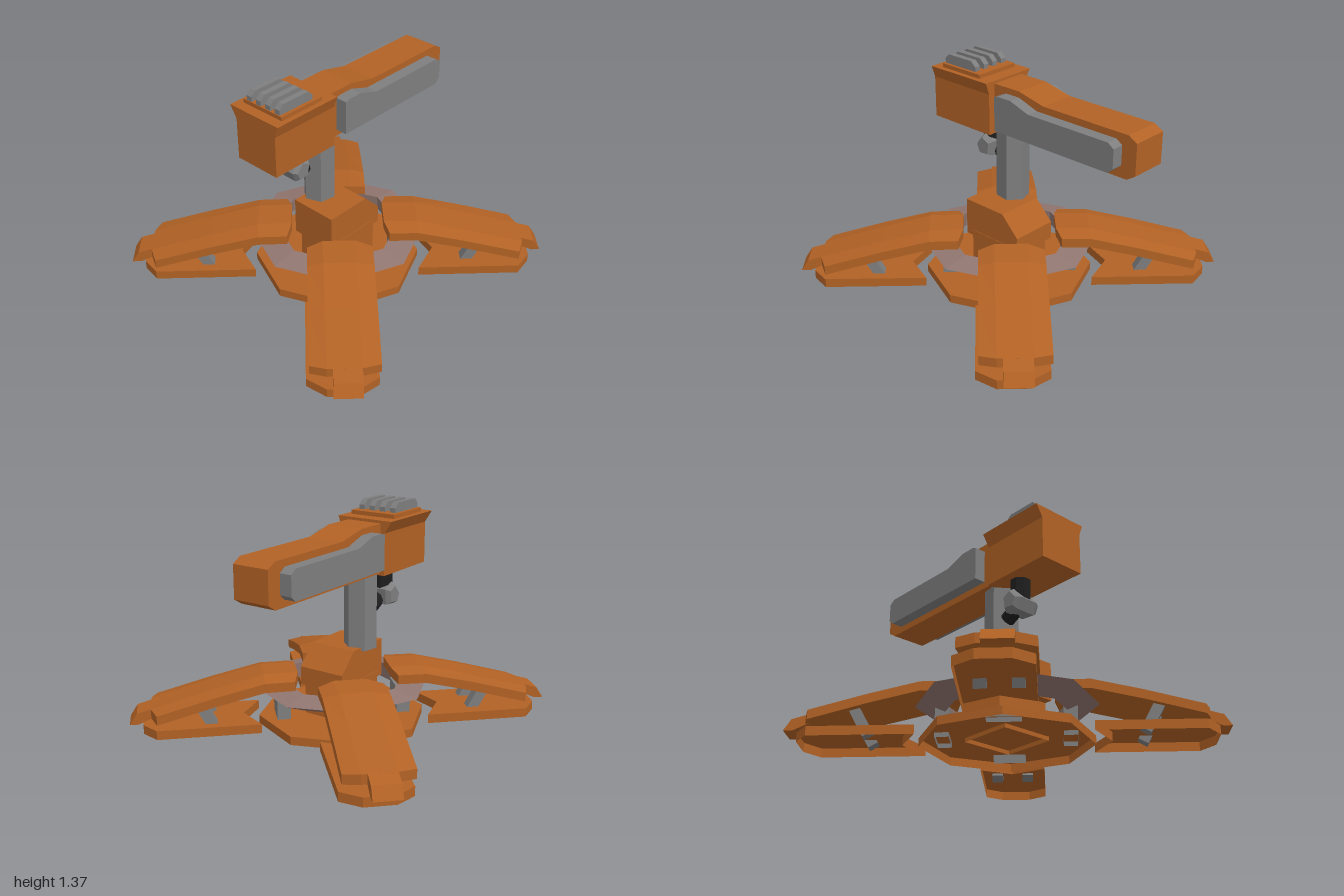
import * as THREE from 'three';

const mat = (name, color, side = THREE.FrontSide) => {
  const m = new THREE.MeshStandardMaterial({ color, side });
  m.name = name;
  return m;
};

export function createModel() {
  const orange = mat('orange paint', 0xb26225, THREE.DoubleSide);
  const grey = mat('grey metal', 0x7e7e7e, THREE.DoubleSide);
  const mauve = mat('mauve metal', 0x917670);
  const black = mat('black rubber', 0x1e1e1e);
  const root = new THREE.Group();
  root.name = 'turret';

  const add = (name, geo, material, parent = root) => {
    const flat = geo.index ? geo.toNonIndexed() : geo;
    flat.computeVertexNormals();
    const mesh = new THREE.Mesh(flat, material);
    mesh.name = name;
    parent.add(mesh);
    return mesh;
  };
  const fromPositions = (pos) =>
    new THREE.BufferGeometry().setAttribute('position', new THREE.Float32BufferAttribute(pos, 3));
  const extrude = (pts, depth) => new THREE.ExtrudeGeometry(
    new THREE.Shape(pts.map(([a, b]) => new THREE.Vector2(a, b))), { depth, bevelEnabled: false });
  // outline in (z, y), spanning x0..x1
  const side = (pts, x0, x1) => extrude(pts, x1 - x0).rotateY(-Math.PI / 2).translate(x1, 0, 0);
  // outline in (x, z), spanning y0..y1
  const plan = (pts, y0, y1) => extrude(pts, y1 - y0).rotateX(Math.PI / 2).translate(0, y1, 0);
  // outline in (x, y), spanning z0..z1
  const front = (pts, z0, z1) => extrude(pts, z1 - z0).translate(0, 0, z0);
  const box = (x0, x1, y0, y1, z0, z1) =>
    new THREE.BoxGeometry(x1 - x0, y1 - y0, z1 - z0).translate((x0 + x1) / 2, (y0 + y1) / 2, (z0 + z1) / 2);
  // like plan, but hollow and open underneath
  const tray = (pts, y0, y1) => {
    const p = plan(pts, y0, y1).getAttribute('position').array;
    const kept = [];
    for (let i = 0; i < p.length; i += 9) {
      if (Math.max(p[i + 1], p[i + 4], p[i + 7]) > y0 + 1e-4) kept.push(...p.slice(i, i + 9));
    }
    return fromPositions(kept);
  };
  const rect = (x0, x1, z0, z1) => [[x0, z0], [x1, z0], [x1, z1], [x0, z1]];
  const polygon = (n, r, start, cx = 0, cz = 0) => Array.from({ length: n }, (_, i) => {
    const a = start + i * 2 * Math.PI / n;
    return [cx + r * Math.cos(a), cz + r * Math.sin(a)];
  });

  // Octagonal base plate, hollow underneath
  add('basePlate', tray(polygon(8, 0.525, 0), 0, 0.053), orange);
  add('columnFoot', tray(rect(-0.175, 0.175, -0.175, 0.175), 0.025, 0.05), orange);

  // Central column and its upper block with a sloped back
  add('column', box(-0.16, 0.16, 0.045, 0.3, -0.165, 0.165), orange);
  add('columnBlock', side([[0.22, 0.26], [0.22, 0.5], [-0.09, 0.5], [-0.215, 0.375], [-0.215, 0.26]], -0.155, 0.157), orange);

  // Octagonal ring
  const ringProfile = [[0.4, 0.18], [0.555, 0.25], [0.39, 0.28], [0.4, 0.18]];
  add('ring', new THREE.LatheGeometry(ringProfile.map(([r, y]) => new THREE.Vector2(r, y)), 8), mauve);

  // Leg shell: roof-shaped cross-sections joined along z
  const legShell = () => {
    const stations = [ // centre z, edge z, centre y, edge y
      [0.29, 0.32, 0.36, 0.335], [0.5, 0.5, 0.357, 0.333],
      [0.8, 0.8, 0.28, 0.262], [1.185, 1.15, 0.175, 0.167],
    ];
    const loops = stations.map(([zc, ze, yc, ye]) => {
      const top = [[-0.197, ye, ze], [-0.1, yc, zc], [0.1, yc, zc], [0.205, ye, ze]];
      return [...top, ...top.map(([x, y, z]) => [x, y - 0.058, z]).reverse()];
    });
    const pos = [];
    const quad = (a, b, c, d) => pos.push(...a, ...b, ...c, ...a, ...c, ...d);
    for (let i = 0; i < loops.length - 1; i++) {
      const a = loops[i], b = loops[i + 1];
      for (let k = 0; k < 8; k++) {
        const n = (k + 1) % 8;
        quad(a[k], b[k], b[n], a[n]);
      }
    }
    const s = loops[0], e = loops[loops.length - 1];
    for (let k = 0; k < 3; k++) {
      quad(s[k], s[k + 1], s[6 - k], s[7 - k]);
      quad(e[k], e[7 - k], e[6 - k], e[k + 1]);
    }
    return fromPositions(pos);
  };

  // Four diagonal legs with a hollow foot plate
  const footOutline = [[-0.01, 0.62], [0.195, 0.525], [0.195, 1.155], [0.085, 1.235],
    [-0.1, 1.235], [-0.215, 1.15], [-0.215, 0.51]];
  for (let i = 0; i < 4; i++) {
    const leg = new THREE.Group();
    leg.name = 'leg' + (i + 1);
    leg.rotation.y = Math.PI / 4 + i * Math.PI / 2;
    root.add(leg);
    add('legShell', legShell(), orange, leg);
    add('legTip', side([[1.17, 0.12], [1.17, 0.179], [1.27, 0.15], [1.315, 0.08], [1.26, 0.08]], -0.066, 0.098), orange, leg);
    add('footPlate', tray(footOutline, 0.013, 0.07), orange, leg);
    add('ringPost', tray(rect(-0.1, 0.1, 0.335, 0.42), 0.025, 0.215), grey, leg);
    for (const s of [-1, 1]) {
      const strut = add('legStrut', new THREE.BoxGeometry(0.07, 0.22, 0.065), grey, leg);
      strut.position.set(s * 0.1, 0.135, 0.86);
      strut.rotation.x = 0.5;
    }
  }

  // Hexagonal mast
  add('mast', plan(polygon(6, 0.104, 40 * Math.PI / 180, -0.098, 0.06), 0.48, 0.98), grey);

  // Rear arm with side panels
  add('arm', side([[0.12, 0.957], [0.12, 1.263], [-0.1, 1.263], [-0.29, 1.22], [-0.9, 1.22],
    [-0.957, 1.187], [-0.957, 0.993], [-0.9, 0.957]], -0.215, 0.022), orange);
  const panel = [[0.03, 1], [0.03, 1.215], [0.0, 1.225], [-0.1, 1.225], [-0.24, 1.178], [-0.82, 1.178],
    [-0.86, 1.15], [-0.86, 1.03], [-0.825, 1]];
  add('rightPanel', side(panel, -0.29, -0.215), grey);
  add('leftPanel', side(panel, 0.022, 0.098), grey);

  // Head with flared top, cap and fins
  add('head', front([[-0.243, 0.943], [0.069, 0.943], [0.069, 1.205], [0.095, 1.28], [-0.29, 1.28], [-0.243, 1.205]], 0.1, 0.575), orange);
  add('headCap', box(-0.25, 0.06, 1.275, 1.305, 0.19, 0.51), orange);
  const fin = [[0.505, 1.3], [0.505, 1.335], [0.475, 1.365], [0.28, 1.365], [0.245, 1.333], [0.245, 1.3]];
  for (let i = 0; i < 4; i++) add('coolingFin', side(fin, -0.225 + i * 0.075, -0.186 + i * 0.075), grey);

  // Hanging joint that links the head to the mast
  add('jointStem', new THREE.CylinderGeometry(0.065, 0.065, 0.16, 8).rotateY(Math.PI / 8).translate(-0.127, 0.875, 0.26), black);
  const hub = new THREE.ExtrudeGeometry(
    new THREE.Shape([[0.31, 0.79], [0.29, 0.742], [0.222, 0.748], [0.213, 0.82], [0.265, 0.845]]
      .map(([z, y]) => new THREE.Vector2(z, y))),
    { depth: 0.13, bevelThickness: 0.03, bevelSize: 0.018, bevelSegments: 1 });
  add('jointHub', hub.rotateY(-Math.PI / 2).translate(-0.062, 0, 0), grey);
  const link = add('jointLink', new THREE.CylinderGeometry(0.045, 0.045, 0.12, 8), black);
  link.position.set(-0.127, 0.755, 0.195);
  link.rotation.x = 1.1;

  return root;
}
